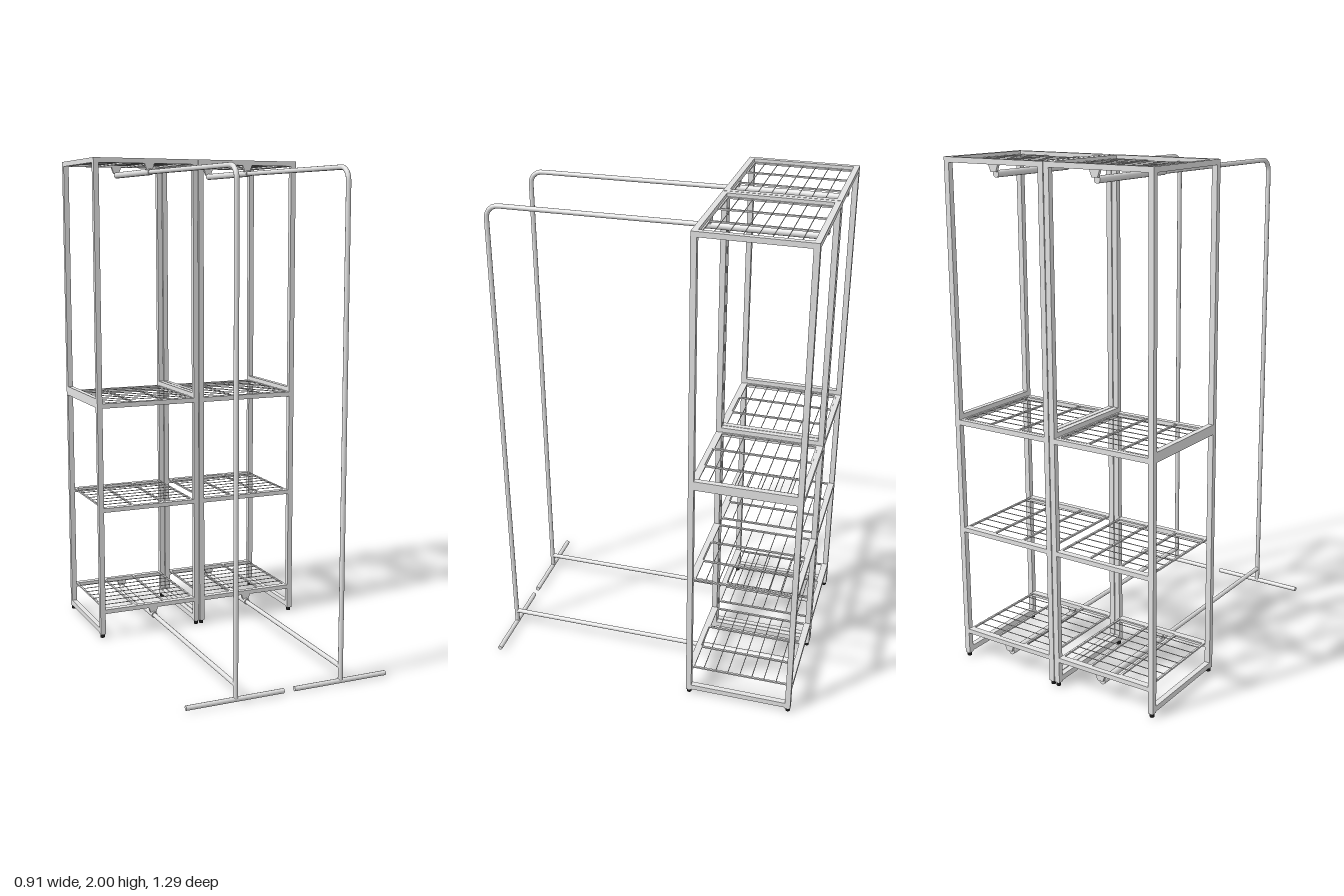
import * as THREE from 'three';

export function createModel() {
  const steel = new THREE.MeshStandardMaterial({ color: 0xe2e2e2 });
  steel.name = 'light grey steel';
  const rubber = new THREE.MeshStandardMaterial({ color: 0x1c1c1c });
  rubber.name = 'black rubber';

  const group = (name, parent) => {
    const g = new THREE.Group();
    g.name = name;
    parent.add(g);
    return g;
  };
  const add = (parent, name, geometry, x, y, z, material = steel) => {
    const mesh = new THREE.Mesh(geometry, material);
    mesh.name = name;
    mesh.position.set(x, y, z);
    parent.add(mesh);
    return mesh;
  };
  const box = (parent, name, w, h, d, x, y, z) =>
    add(parent, name, new THREE.BoxGeometry(w, h, d), x, y, z);
  // Round bar along 'x' or 'z', centred on the given point
  const bar = (parent, name, axis, r, length, x, y, z, sides = 12) => {
    const g = new THREE.CylinderGeometry(r, r, length, sides);
    if (axis === 'x') g.rotateZ(Math.PI / 2);
    if (axis === 'z') g.rotateX(Math.PI / 2);
    return add(parent, name, g, x, y, z);
  };

  const T = 0.022;                 // square tube thickness
  const W = 0.452, HALF = W / 2 - T / 2;
  const Z_FRONT = -0.219, Z_BACK = -0.634, Z_MID = (Z_FRONT + Z_BACK) / 2;
  const DEPTH = Z_FRONT - Z_BACK - T;
  const INNER = W - 2 * T;

  // Wire grid: two flat rectangular loops crossed by thin wires
  function addWireShelf(parent, y) {
    const shelf = group('wireShelf', parent);
    const z0 = -0.622, z1 = -0.232;
    for (const s of [-1, 1]) {
      for (const x of [0.068, 0.2])
        box(shelf, 'loopSide', 0.008, 0.006, z1 - z0, s * x, y, Z_MID);
      for (const z of [z0, z1])
        box(shelf, 'loopEnd', 0.14, 0.006, 0.008, s * 0.134, y, z);
    }
    for (let i = 0; i < 7; i++)
      bar(shelf, 'crossWire', 'x', 0.0017, INNER, 0, y + 0.003, -0.277 - i * 0.05, 6);
  }

  function addRack(parent, cx) {
    const rack = group('shelfRack', parent);
    rack.position.x = cx;

    // Posts on rubber feet
    for (const x of [-HALF, HALF]) for (const z of [Z_FRONT, Z_BACK]) {
      box(rack, 'post', T, 1.985, T, x, 1.0075, z);
      add(rack, 'foot', new THREE.CylinderGeometry(0.009, 0.009, 0.016, 12), x, 0.008, z, rubber);
    }
    // Front and back rails at each level
    for (const [y, h] of [[1.99, 0.02], [0.995, 0.02], [0.553, 0.018], [0.113, 0.018]])
      for (const z of [Z_FRONT, Z_BACK])
        box(rack, 'crossRail', INNER, h, T, 0, y, z);
    // Side rails: top, tall middle one and floor
    for (const [y, h] of [[1.99, 0.02], [1.006, 0.038], [0.03, 0.022]])
      for (const x of [-HALF, HALF])
        box(rack, 'sideRail', T, h, DEPTH, x, y, Z_MID);

    for (const y of [1.984, 1.003, 0.559, 0.119]) addWireShelf(rack, y);
  }

  // Tapered hanger plate joining a sleeve to the rail above it
  function addBracket(parent, yBottom, yTop, z) {
    const s = new THREE.Shape([
      new THREE.Vector2(-0.012, yBottom), new THREE.Vector2(0.012, yBottom),
      new THREE.Vector2(0.022, yTop), new THREE.Vector2(-0.022, yTop),
    ]);
    const g = new THREE.ExtrudeGeometry(s, { depth: 0.012, bevelEnabled: false });
    add(parent, 'bracket', g, 0, 0, z - 0.006);
  }

  function addHangingRail(parent, cx) {
    const rail = group('hangingRail', parent);
    rail.position.x = cx;
    const R = 0.0095, zf = 0.6355, yTop = 1.941, bend = 0.05;

    // Upright bending into the upper arm
    const path = new THREE.CurvePath();
    const v = (y, z) => new THREE.Vector3(0, y, z);
    path.add(new THREE.LineCurve3(v(0.014, zf), v(yTop - bend, zf)));
    const k = bend * 0.448;
    path.add(new THREE.CubicBezierCurve3(v(yTop - bend, zf), v(yTop - k, zf),
      v(yTop, zf - k), v(yTop, zf - bend)));
    path.add(new THREE.LineCurve3(v(yTop, zf - bend), v(1.946, -0.24)));
    add(rail, 'uprightAndArm', new THREE.TubeGeometry(path, 160, R, 12), 0, 0, 0);

    // Lower arm and floor bar
    bar(rail, 'lowerArm', 'z', R, zf + 0.24, 0, 0.071, (zf - 0.24) / 2);
    bar(rail, 'floorBar', 'x', R, 0.396, 0, 0.014, zf);

    // Sleeves under the top and bottom shelves
    for (const [y, railBottom] of [[1.946, 1.982], [0.072, 0.106]]) {
      bar(rail, 'sleeve', 'z', 0.013, 0.425, 0, y, -0.4125, 16);
      for (const z of [Z_FRONT, Z_BACK]) addBracket(rail, y + 0.008, railBottom, z);
    }
  }

  const model = new THREE.Group();
  model.name = 'wardrobeRack';
  for (const x of [-0.2275, 0.2275]) addRack(model, x);
  for (const x of [-0.213, 0.227]) addHangingRail(model, x);
  return model;
}
